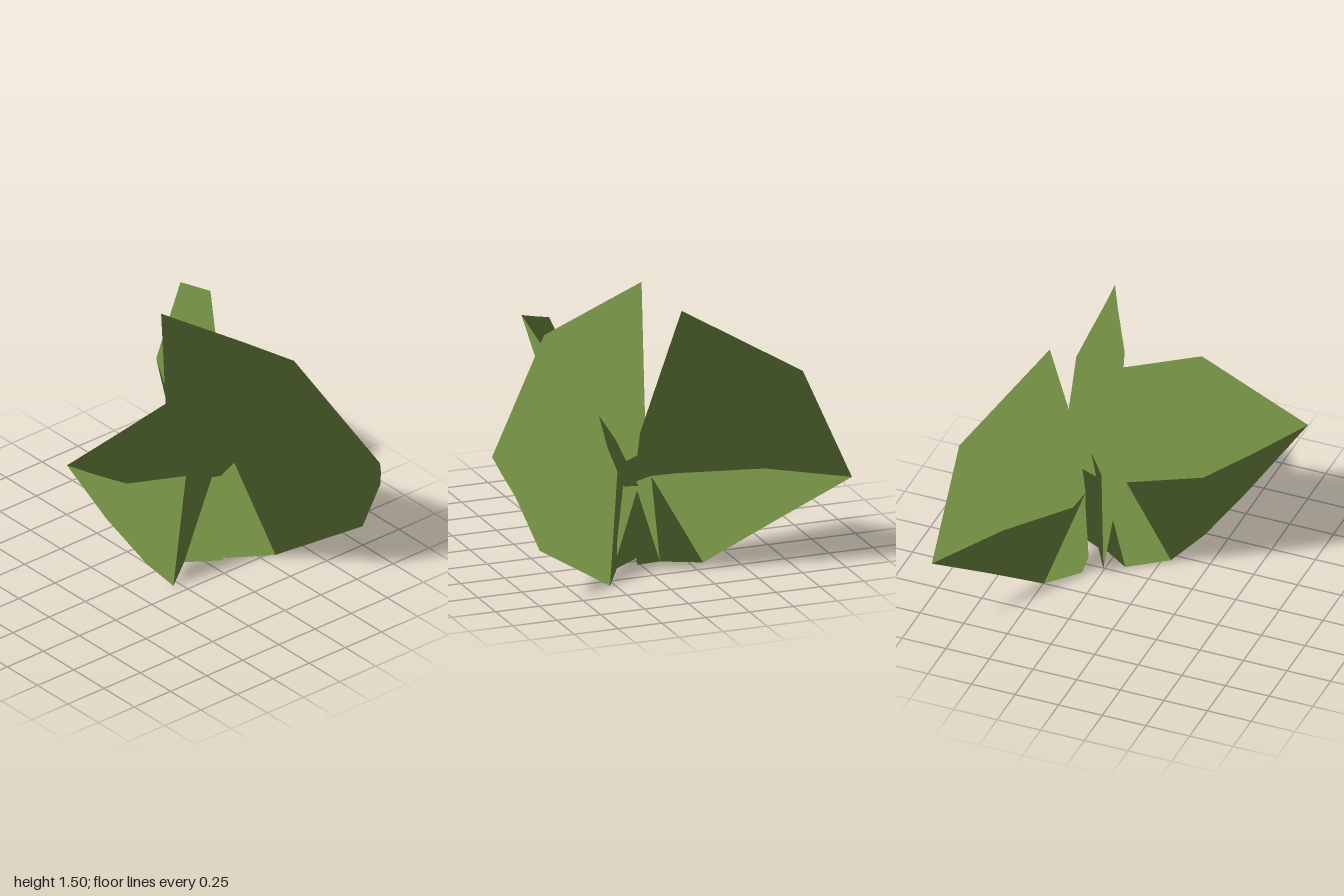
import * as THREE from 'three';

const leafGreen = new THREE.MeshStandardMaterial({ color: 0x6e8a41, side: THREE.DoubleSide });
leafGreen.name = 'leafGreen';

// Lofts a bowed leaf through cross-sections of [upper rim, ridge, lower rim].
// All normals point up so the foliage is shaded evenly.
function leaf(name, sections, flip) {
  const rows = flip ? sections.slice().reverse() : sections;
  const position = rows.flat(2);
  const normal = position.map((_, i) => (i % 3 === 1 ? 1 : 0));
  const index = [];
  for (let i = 0; i < rows.length - 1; i++) {
    for (let j = 0; j < 2; j++) {
      const a = i * 3 + j, b = a + 3;
      index.push(a, a + 1, b, a + 1, b + 1, b);
    }
  }
  const geometry = new THREE.BufferGeometry();
  geometry.setAttribute('position', new THREE.Float32BufferAttribute(position, 3));
  geometry.setAttribute('normal', new THREE.Float32BufferAttribute(normal, 3));
  geometry.setIndex(index);
  const mesh = new THREE.Mesh(geometry, leafGreen);
  mesh.name = name;
  return mesh;
}

// A pointed end: the three section points meet
const tip = (x, y, z) => [[x, y, z], [x, y, z], [x, y, z]];

export function createModel() {
  const group = new THREE.Group();
  group.name = 'leafCluster';

  // Leaf reaching back to the right, bowed forward
  group.add(leaf('rightLeaf', [
    tip(-1, 0.53, -0.83),
    [[-0.74, 1.14, -0.78], [-0.6, 0.55, -0.585], [-0.64, 0.28, -0.655]],
    [[-0.45, 1.3, -0.64], [-0.2, 0.5, -0.35], [-0.29, 0.03, -0.48]],
    [[-0.16, 1.46, -0.5], [-0.05, 0.5, -0.34], [-0.1, 0.015, -0.34]],
    [[0.05, 0.78, -0.43], [0.07, 0.5, -0.4], [0.04, 0.02, -0.36]],
  ], false));

  // Leaf reaching back to the left, bowed backward
  group.add(leaf('leftLeaf', [
    [[-0.09, 1.505, -0.1], [-0.092, 0.9, -0.135], [-0.095, 0.4, -0.165]],
    [[0.15, 1.47, -0.22], [0, 0.6, -0.27], [-0.045, 0.03, -0.24]],
    [[0.35, 1.44, -0.32], [0.16, 0.6, -0.39], [0.15, 0.01, -0.35]],
    [[0.6, 1.4, -0.44], [0.3, 0.93, -0.46], [0.28, 0, -0.58]],
    [[0.8, 1.125, -0.57], [0.6, 0.85, -0.62], [0.76, 0.32, -0.78]],
    [[1, 0.85, -0.7], [0.96, 0.76, -0.74], [0.9, 0.64, -0.785]],
  ], true));

  // Leaf reaching forward, bowed to the right, its rear point piercing the left leaf
  group.add(leaf('frontLeaf', [
    tip(0.23, 1.07, 0.82),
    [[0.28, 1.17, 0.5], [0.15, 0.87, 0.55], [0.165, 0.58, 0.49]],
    [[0.33, 1.275, 0.17], [0.08, 0.68, 0.28], [0.2, 0.22, 0.24]],
    [[0.34, 1.14, -0.13], [0.055, 0.55, -0.15], [0.19, 0.01, 0.05]],
    [[0.35, 1.01, -0.42], [0.09, 0.5, -0.3], [0.04, 0.01, -0.15]],
    [[0.22, 0.79, -0.51], [0.15, 0.5, -0.45], [0.155, 0.01, -0.32]],
    tip(0.15, 0.57, -0.66),
  ], true));

  return group;
}
